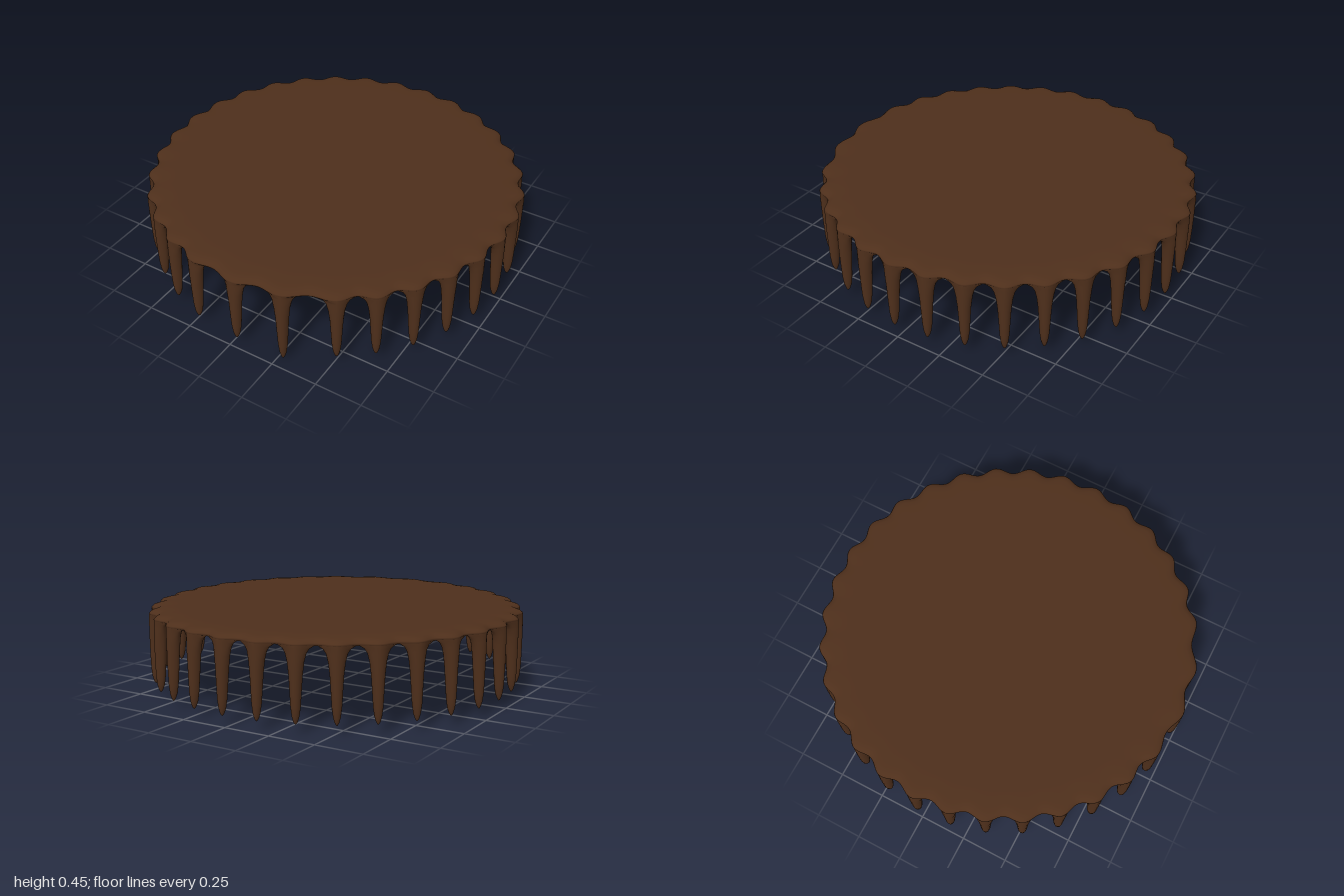
import * as THREE from 'three';

const material = new THREE.MeshStandardMaterial({ color: 0x4e2f1b });
const TOP = 0.45, UNDER = 0.415, VALLEY = 0.966, BULGE = 0.033;

// Smooth closed skin through rings of points, listed from top to bottom
function loft(rings) {
  const n = rings[0].length, index = [];
  for (let k = 0; k < rings.length - 1; k++) {
    for (let j = 0; j < n; j++) {
      const a = k * n + j, d = k * n + (j + 1) % n;
      index.push(a, a + n, d + n, a, d + n, d);
    }
  }
  const geometry = new THREE.BufferGeometry();
  geometry.setAttribute('position', new THREE.Float32BufferAttribute(rings.flat(2), 3));
  geometry.setIndex(index);
  geometry.computeVertexNormals();
  return geometry;
}

// Point from azimuth (0 = front, growing towards +x), radius and height
const polar = (a, r, y) => [Math.sin(a) * r, y, Math.cos(a) * r];
const scallop = (u) => 0.5 + 0.5 * Math.cos(Math.PI * u);

// Drip azimuths: an even row around, with two wider spaced drips at the front
function dripAngles() {
  const degrees = [1.7, 16.3];
  for (let i = 0; i < 29; i++) degrees.push(31.75 + i * 11.25);
  return degrees.map(THREE.MathUtils.degToRad);
}

// Flat sheet with a rounded, scalloped rim that swells over every drip
function sheetGeometry(drips) {
  const outline = [];
  for (const { angle, left, right } of drips) {
    for (let j = 0; j < 16; j++) {
      const u = -1 + j / 8;
      outline.push({ a: angle + u * (u < 0 ? left : right), s: scallop(u) });
    }
  }
  // [inset from the rim, height, share of the scallop]
  const profile = [
    [VALLEY, TOP, 0], [0.3, TOP, 0], [0.12, TOP, 0.1], [0.065, TOP - 0.001, 0.5],
    [0.035, TOP - 0.004, 0.85], [0.016, TOP - 0.011, 1], [0.004, TOP - 0.021, 1],
    [0, UNDER + 0.008, 1], [0.006, UNDER + 0.001, 1], [0.025, UNDER, 0.8],
    [0.07, UNDER, 0], [VALLEY, UNDER, 0],
  ];
  return loft(profile.map(([inset, y, k]) =>
    outline.map(({ a, s }) => polar(a, VALLEY - inset + BULGE * s * k, y))));
}

// Hanging drip: flares into an arch on both sides and narrows to a round tip
function dripGeometry({ angle, left, right, tip }) {
  // [height, half width, centre radius, outer depth, inner depth]
  const sections = [
    [UNDER + 0.008, 0.096, 0.962, 0.036, 0.02],
    [0.412, 0.08, 0.961, 0.038, 0.024],
    [0.402, 0.064, 0.96, 0.039, 0.026],
    [0.38, 0.05, 0.96, 0.04, 0.026],
    [0.34, 0.04, 0.961, 0.039, 0.026],
    [0.28, 0.033, 0.963, 0.037, 0.025],
    [0.2, 0.028, 0.966, 0.033, 0.023],
    [0.13, 0.024, 0.969, 0.028, 0.021],
    [0.085, 0.018, 0.971, 0.021, 0.017],
    [0.06, 0.011, 0.973, 0.012, 0.01],
    [0.05, 0.005, 0.974, 0.006, 0.005],
    [0.045, 0, 0.975, 0, 0],
  ];
  const stretch = (UNDER - tip) / (UNDER - 0.045);
  return loft(sections.map(([y, w, rc, outer, inner], k) => {
    const ring = [];
    const blend = Math.max(0, 1 - k / 4);
    for (let j = 0; j < 24; j++) {
      const t = (j / 24) * Math.PI * 2;
      const u = Math.cos(t), s = -Math.sin(t);
      const half = u < 0 ? left : right;
      const spread = k === 0 ? half : Math.min(w / rc, half);
      const bulge = s > 0
        ? outer * THREE.MathUtils.lerp(s, scallop(u), blend)
        : inner * s;
      const height = y > UNDER ? y : UNDER - (UNDER - y) * stretch;
      ring.push(polar(angle + u * spread, rc + bulge, height));
    }
    return ring;
  }));
}

export function createModel() {
  const group = new THREE.Group();
  group.name = 'drippingGlaze';

  const angles = dripAngles(), n = angles.length, turn = Math.PI * 2;
  const gap = (i) => (angles[(i + 1) % n] - angles[i % n] + turn) % turn;
  const drips = angles.map((angle, i) => ({
    angle,
    left: gap(i + n - 1) / 2,
    right: gap(i) / 2,
    tip: i === 1 ? 0 : 0.045,
  }));

  const sheet = new THREE.Mesh(sheetGeometry(drips), material);
  sheet.name = 'glazeSheet';
  group.add(sheet);

  drips.forEach((drip, i) => {
    const mesh = new THREE.Mesh(dripGeometry(drip), material);
    mesh.name = i === 1 ? 'longDrip' : 'drip';
    group.add(mesh);
  });
  return group;
}
